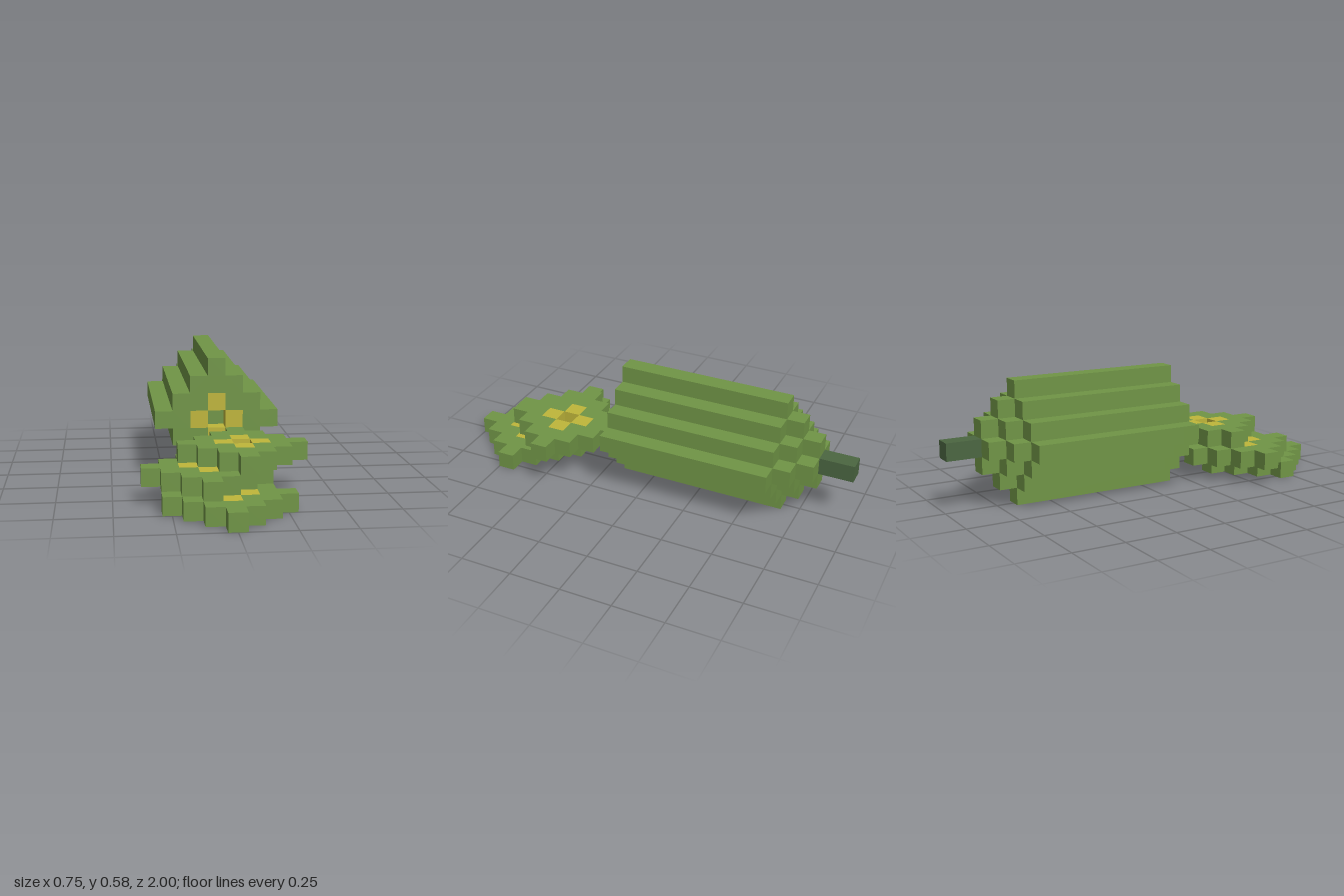
import * as THREE from 'three';

const U = 1 / 12; // one block

const skin = new THREE.MeshStandardMaterial({ color: 0x709546 });
skin.name = 'green flesh';
const seed = new THREE.MeshStandardMaterial({ color: 0xbfb63a });
seed.name = 'yellow seed';
const stalk = new THREE.MeshStandardMaterial({ color: 0x4b6641 });
stalk.name = 'dark green stem';

// Corners of a stepped diamond reaching r blocks out from its centre block
function diamond(r) {
  const right = [];
  for (let j = -r; j <= r; j++) {
    const w = (r - Math.abs(j) + 0.5) * U;
    right.push(new THREE.Vector2(w, (j - 0.5) * U), new THREE.Vector2(w, (j + 0.5) * U));
  }
  const left = right.map((p) => new THREE.Vector2(-p.x, p.y)).reverse();
  return [...right, ...left];
}

// Stepped prism along +z from z = 0, optionally with a cross-shaped opening
function prism(name, r, blocks, open = false) {
  const shape = new THREE.Shape(diamond(r));
  if (open) shape.holes.push(new THREE.Path(diamond(1).reverse()));
  const geometry = new THREE.ExtrudeGeometry(shape, { depth: blocks * U, bevelEnabled: false });
  const mesh = new THREE.Mesh(geometry, skin);
  mesh.name = name;
  return mesh;
}

// One-block-thick cut: green ring with four seeds around an empty centre
function cut(name) {
  const group = new THREE.Group();
  group.name = name;
  group.add(prism('ring', 3, 1, true));
  for (const [x, y] of [[1, 0], [-1, 0], [0, 1], [0, -1]]) {
    const mesh = new THREE.Mesh(new THREE.BoxGeometry(U, U, U), seed);
    mesh.name = 'seed';
    mesh.position.set(x * U, y * U, U / 2);
    group.add(mesh);
  }
  return group;
}

export function createModel() {
  const model = new THREE.Group();
  model.name = 'slicedCucumber';

  // Body with its cut end facing forward, tapering toward the back
  const body = new THREE.Group();
  body.name = 'body';
  body.position.y = 3.5 * U;
  const end = cut('cutEnd');
  end.position.z = U;
  const trunk = prism('trunk', 3, 9);
  trunk.position.z = -8 * U;
  const shoulder = prism('shoulder', 2, 1);
  shoulder.position.z = -9 * U;
  const tip = prism('tip', 1, 1);
  tip.position.z = -10 * U;
  const stem = new THREE.Mesh(new THREE.BoxGeometry(U, U, 2 * U), stalk);
  stem.name = 'stem';
  stem.position.z = -11 * U;
  body.add(end, trunk, shoulder, tip, stem);
  model.add(body);

  // Three fallen slices, overlapping: centre x, base y, centre z in blocks
  const slices = [['bottomSlice', 0, 0, 8.5], ['middleSlice', -1, 1, 6.5], ['topSlice', 1, 2, 5.5]];
  for (const [name, x, y, z] of slices) {
    const slice = cut(name);
    slice.rotation.x = -Math.PI / 2;
    slice.position.set(x * U, y * U, z * U);
    model.add(slice);
  }
  return model;
}
